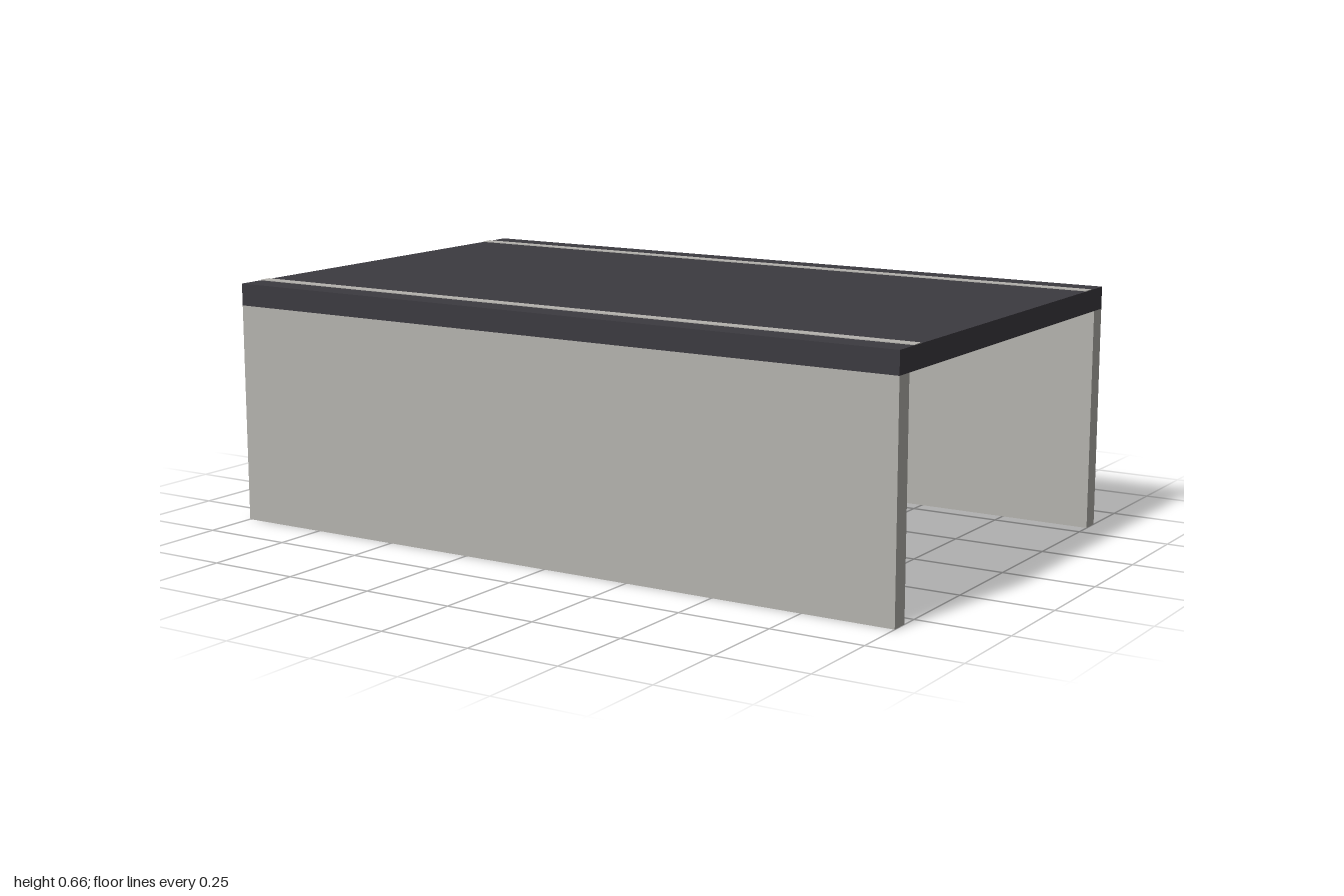
import * as THREE from 'three';

export function createModel() {
  const model = new THREE.Group();
  model.name = 'bridgeSection';

  const asphalt = new THREE.MeshStandardMaterial({ name: 'dark asphalt', color: 0x3c3a40 });
  const concrete = new THREE.MeshStandardMaterial({ name: 'pale concrete', color: 0xb4b2ad });

  const LENGTH = 2, WIDTH = 1.2, WALL_HEIGHT = 0.6, WALL_THICKNESS = 0.05;
  const DECK_THICKNESS = 0.06, STRIPE_THICKNESS = 0.002;

  // Adds a full-length box whose underside sits at the given height
  function addSlab(name, material, height, depth, bottom, z) {
    const mesh = new THREE.Mesh(new THREE.BoxGeometry(LENGTH, height, depth), material);
    mesh.name = name;
    mesh.position.set(0, bottom + height / 2, z);
    model.add(mesh);
  }

  // Road deck
  addSlab('deck', asphalt, DECK_THICKNESS, WIDTH, WALL_HEIGHT, 0);

  // Supporting walls and painted edge lines, mirrored front to back
  for (const [side, sign] of [['front', 1], ['back', -1]]) {
    addSlab(side + 'Wall', concrete, WALL_HEIGHT, WALL_THICKNESS, 0,
      sign * (WIDTH - WALL_THICKNESS) / 2);
    addSlab(side + 'EdgeLine', concrete, STRIPE_THICKNESS, 0.033,
      WALL_HEIGHT + DECK_THICKNESS, sign * 0.508);
  }

  return model;
}
